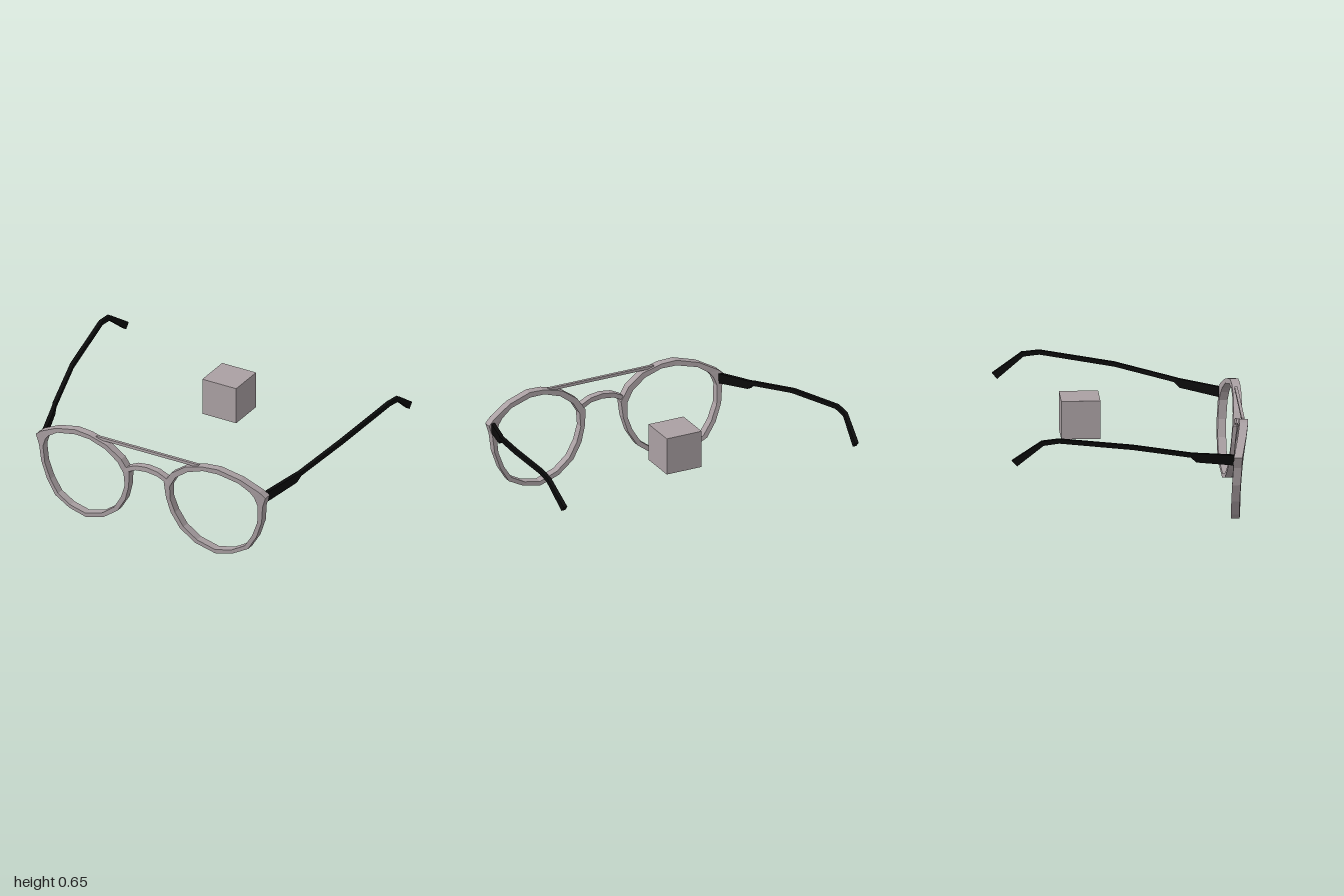
import * as THREE from 'three';

// Joins four-cornered cross-sections into a faceted strip; flip reverses the faces for mirrored parts
function loft(sections, closed, flip) {
  const pos = [];
  const quad = (a, b, c, d) => {
    const q = flip ? [a, c, b, a, d, c] : [a, b, c, a, c, d];
    q.forEach((p) => pos.push(...p));
  };
  const n = sections.length;
  for (let i = 0; i < (closed ? n : n - 1); i++) {
    const s = sections[i], t = sections[(i + 1) % n];
    for (let j = 0; j < 4; j++) {
      const k = (j + 1) % 4;
      quad(s[j], s[k], t[k], t[j]);
    }
  }
  if (!closed) {
    quad(...[...sections[0]].reverse());
    quad(...sections[n - 1]);
  }
  const geo = new THREE.BufferGeometry();
  geo.setAttribute('position', new THREE.Float32BufferAttribute(pos, 3));
  geo.computeVertexNormals();
  return geo;
}

// Front surface of the frame: leans forward at the top and wraps back at the sides
const frontZ = (x, y) => 0.715 + 0.085 * (y - 0.55) - 0.11 * Math.abs(x) ** 3;
const DEPTH = 0.05;

// Rim outline: outer x, y and inner x, y
const RIM = [
  [0.765, 0.40, 0.735, 0.40], [0.786, 0.465, 0.715, 0.455], [0.75, 0.497, 0.69, 0.487],
  [0.63, 0.562, 0.62, 0.535], [0.487, 0.6, 0.487, 0.568], [0.39, 0.594, 0.39, 0.566],
  [0.267, 0.56, 0.283, 0.53], [0.17, 0.49, 0.198, 0.465], [0.118, 0.41, 0.158, 0.395],
  [0.128, 0.31, 0.155, 0.31], [0.155, 0.214, 0.185, 0.222], [0.214, 0.118, 0.238, 0.135],
  [0.315, 0.043, 0.326, 0.068], [0.444, 0.005, 0.444, 0.031], [0.56, 0.032, 0.55, 0.054],
  [0.66, 0.086, 0.638, 0.103], [0.717, 0.18, 0.69, 0.185], [0.754, 0.29, 0.727, 0.285],
];

// Temple sections: centre x, then z and y of the top edge, z and y of the bottom edge
const TEMPLE = [
  [0.757, 0.61, 0.477, 0.61, 0.415], [0.827, 0.375, 0.511, 0.38, 0.457],
  [0.838, 0.35, 0.516, 0.345, 0.49], [0.923, 0, 0.593, 0, 0.566],
  [0.985, -0.44, 0.656, -0.44, 0.63], [0.988, -0.545, 0.645, -0.533, 0.619],
  [0.97, -0.72, 0.524, -0.69, 0.49],
];

// Bridge sections: x, lower y, upper y
const BRIDGE = [
  [0.15, 0.40, 0.43], [0.13, 0.415, 0.447], [0.075, 0.443, 0.473], [0, 0.452, 0.483],
  [-0.075, 0.443, 0.473], [-0.13, 0.415, 0.447], [-0.15, 0.40, 0.43],
];

export function createModel() {
  const frameMat = new THREE.MeshStandardMaterial({ color: 0xaaa0a3, flatShading: true });
  frameMat.name = 'mauve grey';
  const templeMat = new THREE.MeshStandardMaterial({ color: 0x0a0a0a, flatShading: true });
  templeMat.name = 'black';

  const model = new THREE.Group();
  model.name = 'glasses';
  const add = (name, geo, mat) => {
    const mesh = new THREE.Mesh(geo, mat);
    mesh.name = name;
    model.add(mesh);
    return mesh;
  };

  for (const [side, s] of [['left', 1], ['right', -1]]) {
    // Lens rim
    const rim = RIM.map(([ox, oy, ix, iy]) => {
      const zo = frontZ(ox, oy), zi = frontZ(ix, iy);
      return [[s * ix, iy, zi], [s * ox, oy, zo], [s * ox, oy, zo - DEPTH], [s * ix, iy, zi - DEPTH]];
    });
    add(side + 'Rim', loft(rim, true, s < 0), frameMat);

    // Temple arm with hinge block and bent ear tip
    const w = 0.012;
    const arm = TEMPLE.map(([x, zt, yt, zb, yb]) => [
      [s * (x + w), yt, zt], [s * (x + w), yb, zb], [s * (x - w), yb, zb], [s * (x - w), yt, zt],
    ]);
    add(side + 'Temple', loft(arm, false, s < 0), templeMat);
  }

  // Arched nose bridge
  const bridge = BRIDGE.map(([x, lo, hi]) => {
    const z = frontZ(x, hi);
    return [[x, lo, z], [x, hi, z], [x, hi, z - 0.043], [x, lo, z - 0.043]];
  });
  add('noseBridge', loft(bridge, false, false), frameMat);

  // Thin brow bar
  add('browBar', new THREE.BoxGeometry(0.7, 0.018, 0.018), frameMat).position.set(0, 0.58, 0.685);

  // Floating cube between the temples
  add('cube', new THREE.BoxGeometry(0.232, 0.232, 0.232), frameMat).position.set(0, 0.527, -0.26);

  return model;
}
